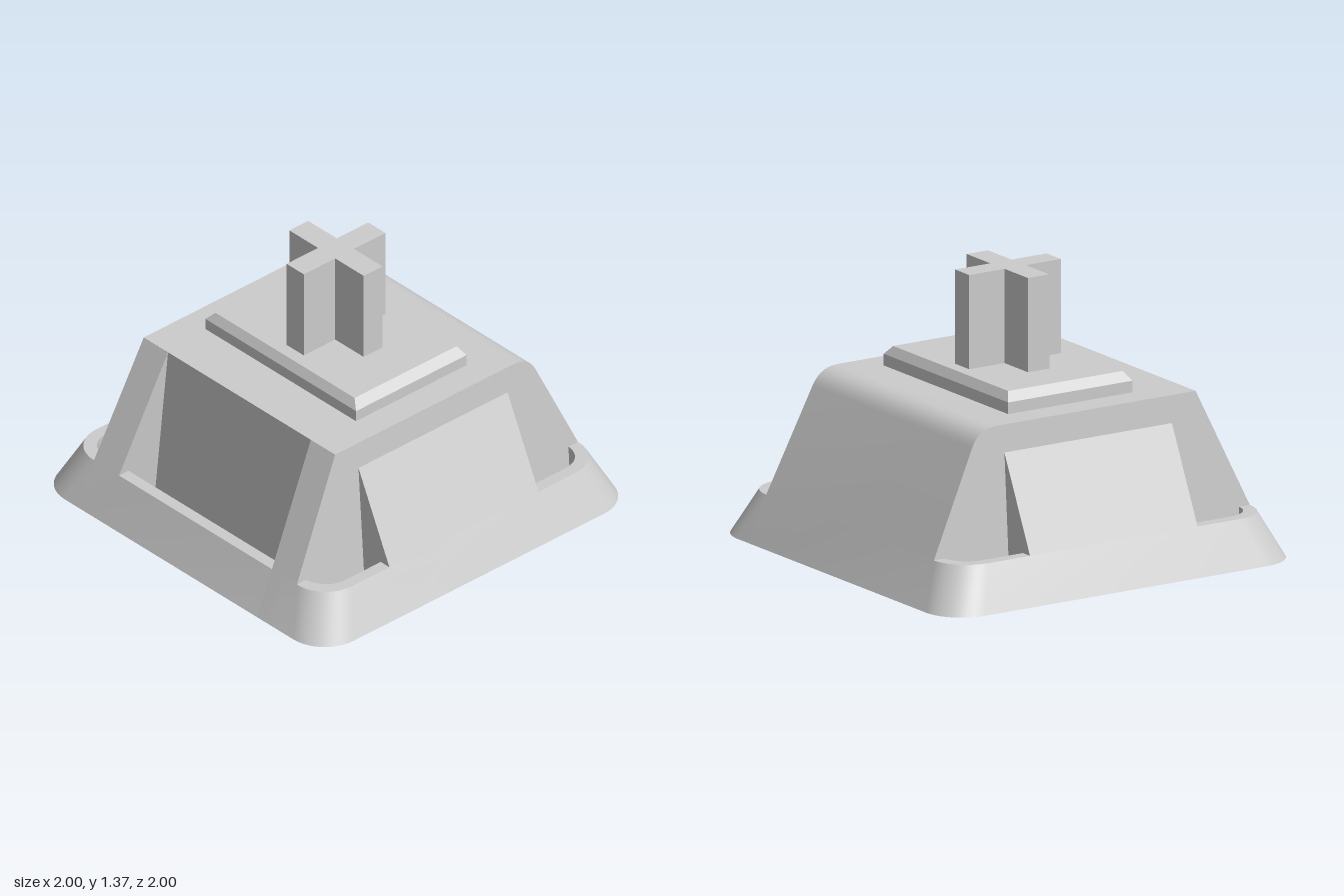
import * as THREE from 'three';
import { toCreasedNormals } from 'three/addons/utils/BufferGeometryUtils.js';

const SLOPE = 0.475;                         // inward lean of the outer walls
const outer = (y) => 1 - SLOPE * y;          // outer wall distance at height y
const bodyX = (y) => 0.725 - 0.068 * y;      // body side wall
const pocketX = (y) => 0.548 - 0.0593 * y;   // front window side
const pocketZ = (y) => 0.655 - 0.049 * y;    // front window back wall
const TOP = 0.81, RIM = 0.22;

const rect = (x0, x1, z0, z1) => [[x0, z1], [x1, z1], [x1, z0], [x0, z0]];

function roundedSquare(half, r, steps = 10) {
  const pts = [], c = half - r;
  [[1, 1], [1, -1], [-1, -1], [-1, 1]].forEach(([sx, sz], k) => {
    for (let i = 0; i <= steps; i++) {
      const a = Math.PI / 2 * (1 - k - i / steps);
      pts.push([sx * c + r * Math.cos(a), sz * c + r * Math.sin(a)]);
    }
  });
  return pts;
}

// Skin a list of [y, ring] levels, optionally closing the last ring
function loft(levels, cap = true) {
  const pos = [], idx = [], n = levels[0][1].length;
  for (const [y, ring] of levels) for (const [x, z] of ring) pos.push(x, y, z);
  for (let l = 0; l < levels.length - 1; l++) {
    for (let j = 0; j < n; j++) {
      const a = l * n + j, b = l * n + (j + 1) % n;
      idx.push(a, b, b + n, a, b + n, a + n);
    }
  }
  const last = (levels.length - 1) * n;
  if (cap) for (let j = 1; j < n - 1; j++) idx.push(last, last + j, last + j + 1);
  const g = new THREE.BufferGeometry();
  g.setAttribute('position', new THREE.Float32BufferAttribute(pos, 3));
  g.setIndex(idx);
  return toCreasedNormals(g, 0.5);
}

// Extrude a flat outline upward from height y
function slab(shape, y, height) {
  const g = new THREE.ExtrudeGeometry(shape, { depth: height, bevelEnabled: false });
  return g.rotateX(-Math.PI / 2).translate(0, y, 0);
}

const toShape = (pts) => new THREE.Shape(pts.map(([x, z]) => new THREE.Vector2(x, -z)));

export function createModel() {
  const group = new THREE.Group();
  const grey = new THREE.MeshStandardMaterial({ color: 0xcccccc });
  grey.name = 'light grey plastic';
  const add = (name, geometry) => {
    const mesh = new THREE.Mesh(geometry, grey);
    mesh.name = name;
    group.add(mesh);
  };

  // Sloping skirt with a narrow rim and an inner wall
  add('baseSkirt', loft([
    [0, roundedSquare(0.98, 0.19)],
    [0, roundedSquare(1, 0.2)],
    [RIM, roundedSquare(outer(RIM), 0.18)],
    [RIM, roundedSquare(0.835, 0.13)],
    [0.02, roundedSquare(0.835, 0.13)],
  ], false));

  // Floor plate with the rectangular opening
  const floor = toShape(roundedSquare(0.99, 0.2));
  floor.holes.push(toShape(rect(-0.53, 0.53, -0.35, 0.35)));
  add('floorPlate', slab(floor, 0, 0.02));

  // Body with a rounded top edge at the back
  const levels = [[0, -1]];
  const curve = new THREE.QuadraticBezierCurve(
    new THREE.Vector2(-outer(0.724), 0.724),
    new THREE.Vector2(-outer(TOP), TOP),
    new THREE.Vector2(-0.52, TOP));
  for (const p of curve.getPoints(7)) levels.push([p.y, p.x]);
  add('body', loft(levels.map(([y, back]) =>
    [y, rect(-bodyX(y), bodyX(y), back, pocketZ(y))])));

  // Front pillars and side walls, mirrored
  for (const side of [1, -1]) {
    const span = (a, b, z0, z1) => side > 0 ? rect(a, b, z0, z1) : rect(-b, -a, z0, z1);
    const word = side > 0 ? 'left' : 'right';
    add(word + 'FrontPillar', loft([0, TOP].map((y) =>
      [y, span(pocketX(y), bodyX(y), pocketZ(y), outer(y))])));
    add(word + 'SideWall', loft([0, 0.69].map((y) =>
      [y, span(0.62, outer(y), -0.475, 0.475)])));
  }

  // Hollow inside, facing inward, with a small ledge
  const inside = (hx, hz) => rect(-hx, hx, -hz, hz).reverse();
  const cavity = loft([
    [0, inside(0.53, 0.35)],
    [0.09, inside(0.53, 0.35)],
    [0.09, inside(0.56, 0.38)],
    [0.79, inside(0.56, 0.38)],
  ]);
  add('innerCavity', cavity);

  // Chamfered plate under the stem
  add('stemPlate', loft([
    [TOP - 0.01, rect(-0.527, 0.527, -0.352, 0.352)],
    [0.867, rect(-0.527, 0.527, -0.352, 0.352)],
    [0.91, rect(-0.487, 0.487, -0.325, 0.325)],
  ]));

  // Cross-shaped stem
  const a = 0.26, w = 0.06;
  add('crossStem', slab(toShape([
    [-w, a], [w, a], [w, w], [a, w], [a, -w], [w, -w],
    [w, -a], [-w, -a], [-w, -w], [-a, -w], [-a, w], [-w, w],
  ]), 0.9, 0.47));

  return group;
}
